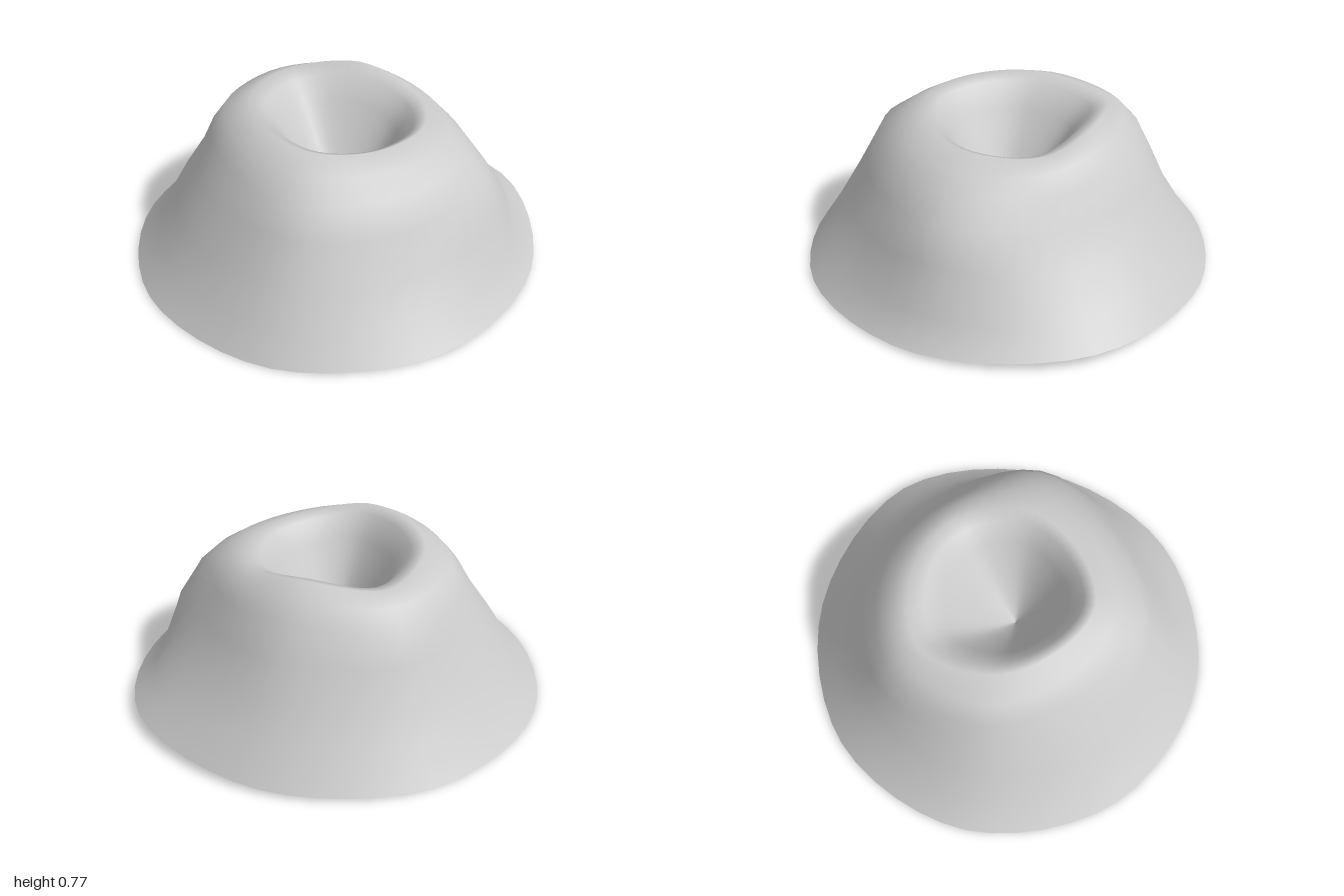
import * as THREE from 'three';

// Slope profiles [radius, height] from base to rim, in eight compass directions
// starting at +x and turning towards +z.
const PROFILES = [
  [[1.0, 0.015], [0.89, 0.14], [0.83, 0.37], [0.74, 0.52], [0.64, 0.62], [0.55, 0.68], [0.43, 0.73]],
  [[1.0, 0.01], [0.88, 0.14], [0.77, 0.3], [0.68, 0.48], [0.6, 0.61], [0.5, 0.69], [0.39, 0.735]],
  [[1.0, 0.0], [0.91, 0.14], [0.8, 0.33], [0.71, 0.49], [0.64, 0.62], [0.51, 0.71], [0.41, 0.765]],
  [[1.0, 0.005], [0.88, 0.13], [0.79, 0.28], [0.66, 0.47], [0.57, 0.62], [0.49, 0.71], [0.38, 0.775]],
  [[1.0, 0.005], [0.88, 0.14], [0.78, 0.32], [0.68, 0.48], [0.62, 0.61], [0.55, 0.71], [0.42, 0.765]],
  [[1.0, 0.01], [0.9, 0.14], [0.79, 0.32], [0.72, 0.48], [0.66, 0.61], [0.58, 0.7], [0.49, 0.74]],
  [[1.0, 0.02], [0.88, 0.19], [0.78, 0.35], [0.7, 0.5], [0.61, 0.65], [0.53, 0.72], [0.45, 0.775]],
  [[1.04, 0.05], [0.93, 0.14], [0.79, 0.29], [0.67, 0.46], [0.6, 0.6], [0.53, 0.68], [0.45, 0.72]],
];
const SEGMENTS = 48;
const TIP = new THREE.Vector3(0.05, 0.195, 0.03);
// Crater rings: fraction of the way from rim to tip, and fraction of the drop
const CRATER = [[0.15, 0.05], [0.32, 0.24], [0.55, 0.54], [0.8, 0.82], [0.999, 1]];

function slopePoint(direction, ring) {
  const [r, y] = PROFILES[direction][ring];
  const a = direction * Math.PI / 4;
  return new THREE.Vector3(r * Math.cos(a), y, r * Math.sin(a));
}

// One smooth closed ring of points through the eight directions
function ringPoints(ring) {
  const keys = PROFILES.map((_, d) => slopePoint(d, ring));
  const curve = new THREE.CatmullRomCurve3(keys, true, 'catmullrom', 0.5);
  return Array.from({ length: SEGMENTS }, (_, i) => curve.getPoint(i / SEGMENTS));
}

function craterRing(rim, [inward, drop]) {
  return rim.map((p) => new THREE.Vector3(
    THREE.MathUtils.lerp(p.x, TIP.x, inward),
    THREE.MathUtils.lerp(p.y, TIP.y, drop),
    THREE.MathUtils.lerp(p.z, TIP.z, inward)));
}

// Skin a list of closed rings, with faces outward and upward
function loft(rings) {
  const index = [];
  for (let r = 0; r < rings.length - 1; r++) {
    for (let i = 0; i < SEGMENTS; i++) {
      const j = (i + 1) % SEGMENTS;
      const a = r * SEGMENTS + i, b = r * SEGMENTS + j;
      const c = a + SEGMENTS, d = b + SEGMENTS;
      index.push(a, c, b, b, c, d);
    }
  }
  const geometry = new THREE.BufferGeometry().setFromPoints(rings.flat());
  geometry.setIndex(index);
  geometry.computeVertexNormals();
  return geometry;
}

export function createModel() {
  const group = new THREE.Group();
  group.name = 'volcano';

  // Outer slopes, rounded rim and funnel crater as one open shell
  const slopes = PROFILES[0].map((_, ring) => ringPoints(ring));
  const rim = slopes[slopes.length - 1];
  const crater = CRATER.map((step) => craterRing(rim, step));

  const material = new THREE.MeshStandardMaterial({ color: 0xcccccc, side: THREE.DoubleSide });
  const shell = new THREE.Mesh(loft([...slopes, ...crater]), material);
  shell.name = 'slopesAndCrater';
  group.add(shell);
  return group;
}
